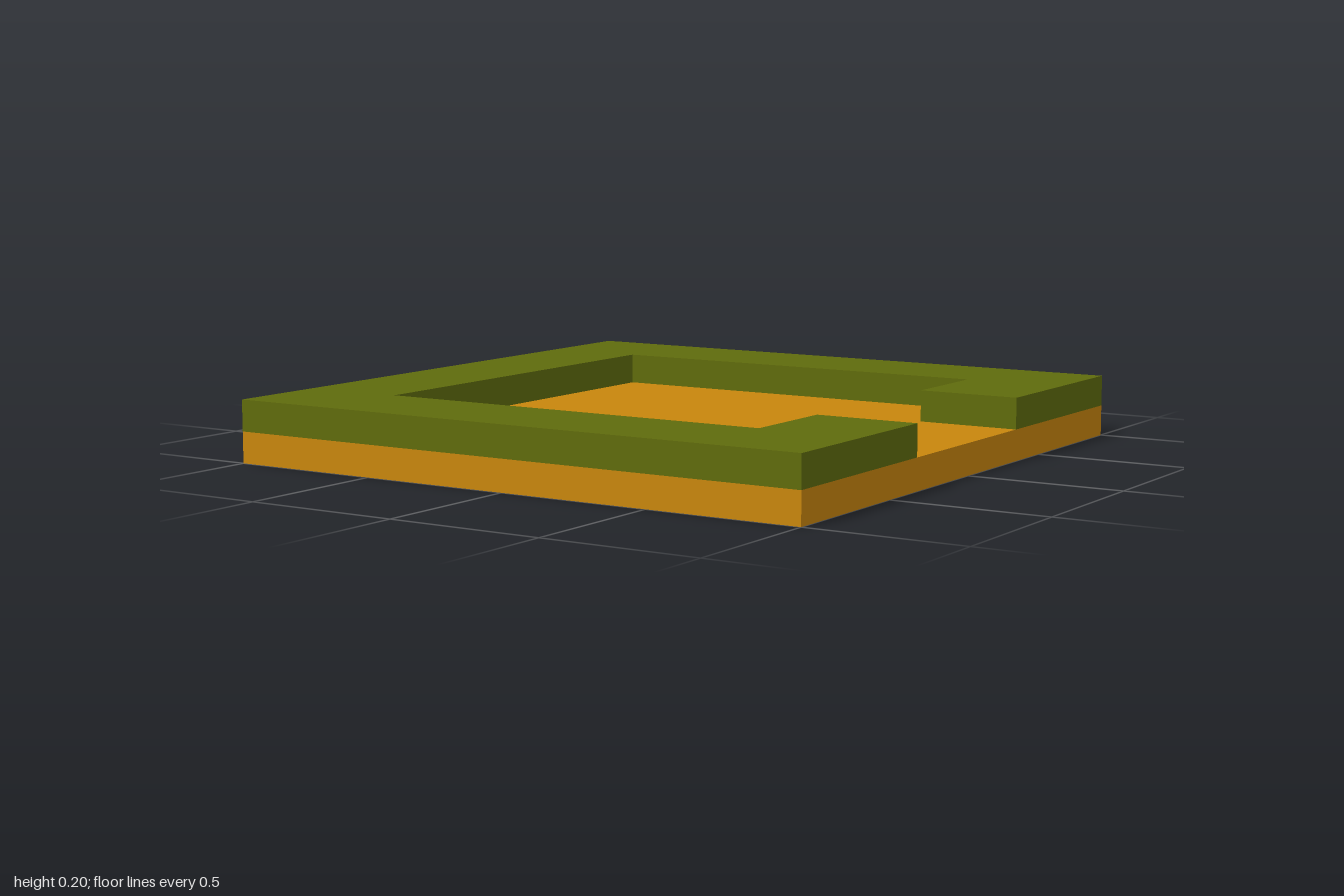
import * as THREE from 'three';

export function createModel() {
  const group = new THREE.Group();
  const ochre = new THREE.MeshStandardMaterial({ color: 0xc8860d });
  ochre.name = 'ochre';
  const olive = new THREE.MeshStandardMaterial({ color: 0x5f6b0c });
  olive.name = 'olive';

  const thickness = 0.1;
  const outer = 1;
  const inner = 2 / 3;
  const gap = 1 / 3;

  // Square floor slab
  const floor = new THREE.Mesh(new THREE.BoxGeometry(2 * outer, thickness, 2 * outer), ochre);
  floor.name = 'floor';
  floor.position.y = thickness / 2;
  group.add(floor);

  // Raised border with a doorway on the +x side
  const outline = new THREE.Shape([
    [outer, gap], [outer, outer], [-outer, outer], [-outer, -outer], [outer, -outer], [outer, -gap],
    [inner, -gap], [inner, -inner], [-inner, -inner], [-inner, inner], [inner, inner], [inner, gap],
  ].map(([x, y]) => new THREE.Vector2(x, y)));
  const wallGeometry = new THREE.ExtrudeGeometry(outline, { depth: thickness, bevelEnabled: false });
  wallGeometry.rotateX(-Math.PI / 2);
  const wall = new THREE.Mesh(wallGeometry, olive);
  wall.name = 'borderWall';
  wall.position.y = thickness;
  group.add(wall);

  return group;
}
